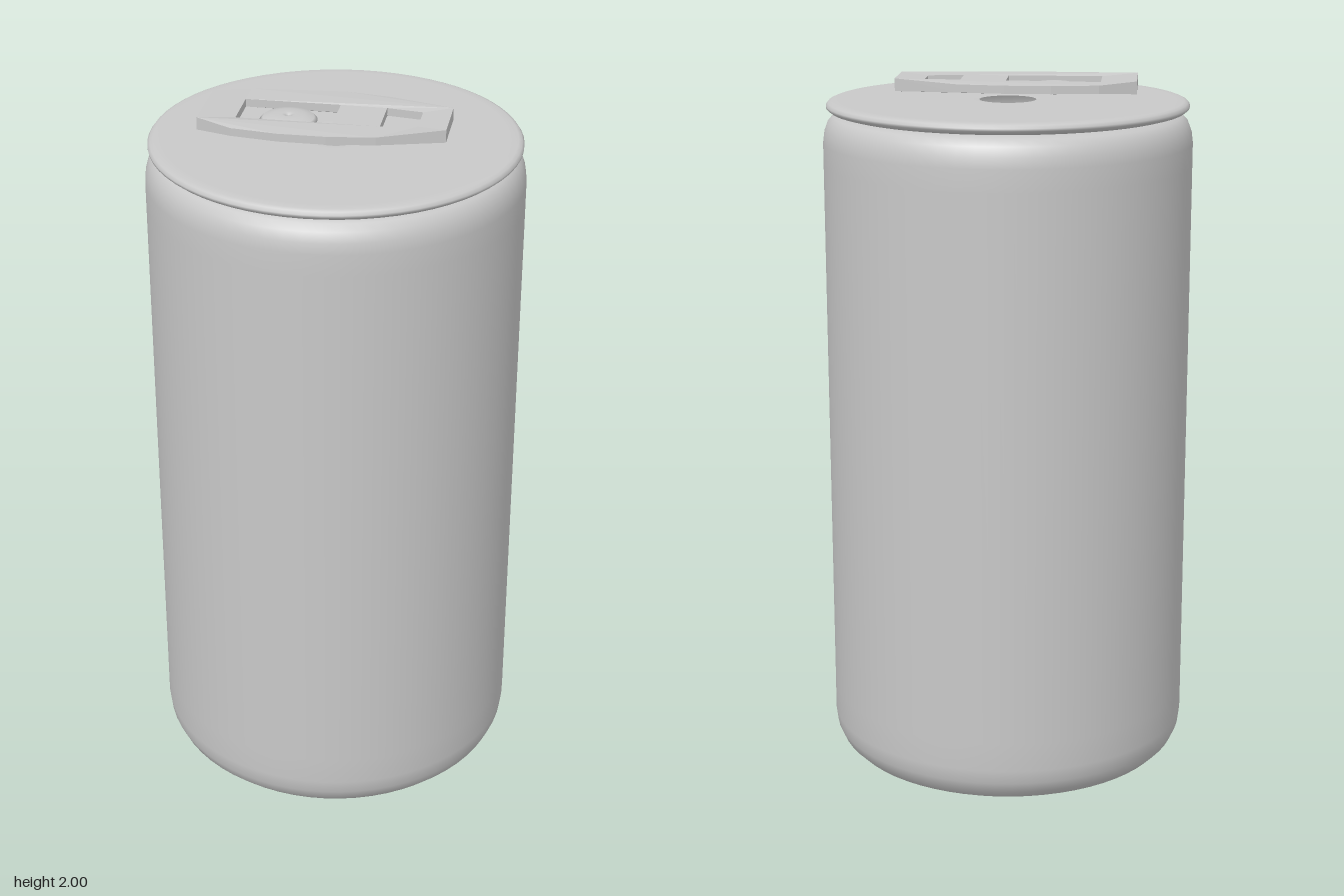
import * as THREE from 'three';

const metal = new THREE.MeshStandardMaterial({ color: 0xc8c8c8, side: THREE.DoubleSide });
metal.name = 'plain metal';

const vectors = (pts) => pts.map(([a, b]) => new THREE.Vector2(a, b));

function addMesh(group, name, geometry) {
  const mesh = new THREE.Mesh(geometry, metal);
  mesh.name = name;
  group.add(mesh);
  return mesh;
}

const lathe = (pts, segments) => new THREE.LatheGeometry(vectors(pts), segments);

export function createModel() {
  const can = new THREE.Group();
  can.name = 'drinkCan';

  // Body: open base curling up around a round hole, straight wall, rounded shoulder
  addMesh(can, 'body', lathe([
    [0.255, 0.07], [0.28, 0.052], [0.31, 0.028], [0.345, 0.009], [0.38, 0.001], [0.41, 0],
    [0.445, 0.007], [0.475, 0.022], [0.5, 0.047], [0.515, 0.08], [0.52, 0.12], [0.52, 0.2],
    [0.52, 1.76], [0.52, 1.82], [0.516, 1.85], [0.506, 1.877], [0.49, 1.894], [0.47, 1.902], [0.42, 1.903],
  ], 64));

  // Lid: thin disc with a rolled rim and a small hole at the centre
  addMesh(can, 'lid', lathe([
    [0.42, 1.903], [0.48, 1.904], [0.499, 1.909], [0.509, 1.917], [0.51, 1.924],
    [0.504, 1.932], [0.494, 1.936], [0.47, 1.937], [0.1, 1.937], [0.08, 1.935],
  ], 64));

  // Pull tab: tapered plate with a finger window and a small slot
  const outline = new THREE.Shape(vectors([
    [-0.362, -0.1], [-0.26, -0.145], [-0.13, -0.163], [0, -0.163], [0.13, -0.146], [0.309, -0.08],
    [0.309, 0.081], [0.13, 0.15], [0, 0.17], [-0.13, 0.17], [-0.26, 0.15], [-0.362, 0.103],
  ]));
  outline.holes.push(
    new THREE.Path(vectors([[-0.262, -0.067], [-0.262, 0.069], [0.002, 0.069], [0.002, -0.067]])),
    new THREE.Path(vectors([[0.13, -0.067], [0.13, 0.067], [0.23, 0.052], [0.23, -0.051]])),
  );
  const tab = new THREE.ExtrudeGeometry(outline, { depth: 0.022, bevelEnabled: false });
  tab.translate(0, 0, -0.011).rotateX(-Math.PI / 2);
  // Thicken the two ends of the tab
  const pos = tab.attributes.position;
  for (let i = 0; i < pos.count; i++) {
    const x = pos.getX(i);
    if (x > 0.3 || x < -0.3) pos.setY(i, pos.getY(i) * 1.6);
  }
  tab.computeVertexNormals();
  addMesh(can, 'pullTab', tab).position.y = 1.9824;

  // Rivet: flattened button with a tiny dimple
  const rivet = addMesh(can, 'rivet', lathe([
    [0, -0.016], [0.045, -0.0145], [0.068, -0.009], [0.079, 0], [0.07, 0.008],
    [0.045, 0.014], [0.018, 0.016], [0.009, 0.014], [0, 0.006],
  ], 32));
  rivet.position.set(-0.13, 1.97, 0);

  return can;
}
